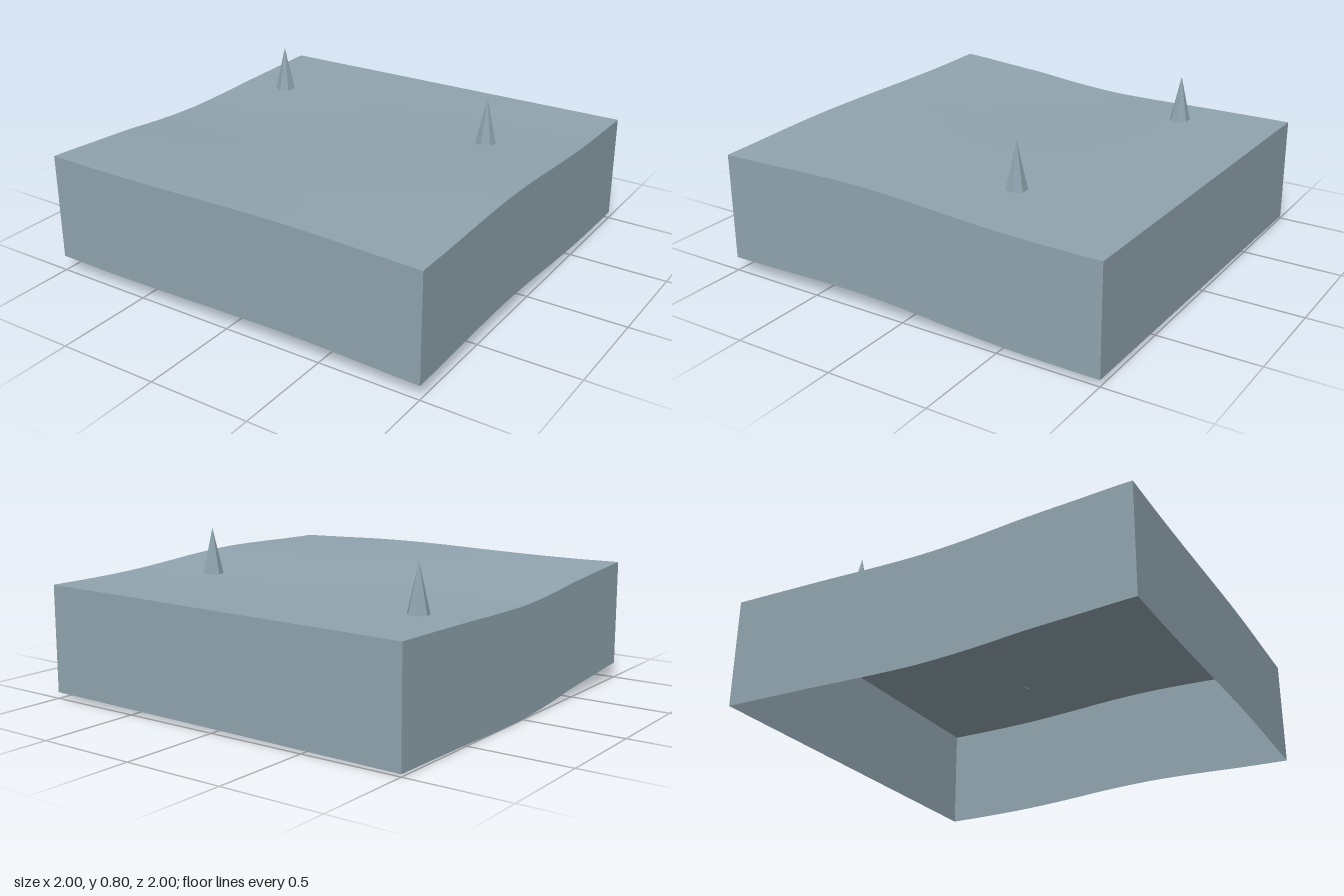
import * as THREE from 'three';

const SKIRT = 0.53; // constant drop of the side walls
const N = 32; // grid divisions

// Height profiles along each edge, evenly spaced from -1 to 1
const profile = (heights) => {
  const curve = new THREE.SplineCurve(
    heights.map((h, i) => new THREE.Vector2(-1 + (2 * i) / (heights.length - 1), h)));
  return (s) => curve.getPoint((s + 1) / 2).y;
};
const right = profile([0.56, 0.561, 0.567, 0.582, 0.6, 0.61, 0.608, 0.601, 0.597]);
const left = profile([0.54, 0.538, 0.535, 0.53, 0.53, 0.545, 0.57, 0.588, 0.605]);
const front = profile([0.605, 0.602, 0.603, 0.607, 0.612, 0.615, 0.612, 0.604, 0.597]);
const back = (x) => 0.55 + 0.01 * x;

// Blend the four edges into one surface
function heightAt(x, z) {
  const u = (x + 1) / 2;
  const v = (z + 1) / 2;
  const mix = THREE.MathUtils.lerp;
  const corners = mix(mix(back(-1), back(1), u), mix(front(-1), front(1), u), v);
  return mix(left(z), right(z), u) + mix(back(x), front(x), v) - corners;
}

export function createModel() {
  const model = new THREE.Group();
  model.name = 'terrainTile';
  const stone = new THREE.MeshStandardMaterial({ color: 0x90a4ae, side: THREE.DoubleSide });
  stone.name = 'blueGrey';

  const add = (name, geometry) => {
    const mesh = new THREE.Mesh(geometry, stone);
    mesh.name = name;
    model.add(mesh);
    return mesh;
  };

  // Gently rolling ground
  const ground = new THREE.PlaneGeometry(2, 2, N, N).rotateX(-Math.PI / 2);
  const gp = ground.attributes.position;
  for (let i = 0; i < gp.count; i++) gp.setY(i, heightAt(gp.getX(i), gp.getZ(i)));
  ground.computeVertexNormals();
  add('ground', ground);

  // Side walls following the ground edge, open underneath
  ['frontWall', 'leftWall', 'backWall', 'rightWall'].forEach((name, k) => {
    const wall = new THREE.PlaneGeometry(2, 1, N, 1).translate(0, 0, 1).rotateY((k * Math.PI) / 2);
    const p = wall.attributes.position;
    for (let i = 0; i < p.count; i++) {
      const top = heightAt(p.getX(i), p.getZ(i));
      p.setY(i, p.getY(i) > 0 ? top : top - SKIRT);
    }
    add(name, wall);
  });

  // Faceted spikes standing on the ground
  [['leftSpike', 0.58, -0.335, 0.8], ['rightSpike', -0.75, -0.5, 0.77]].forEach(([name, x, z, tip]) => {
    const base = heightAt(x, z);
    const h = tip - base;
    const cone = new THREE.ConeGeometry(0.052, h, 7).toNonIndexed();
    cone.computeVertexNormals();
    add(name, cone).position.set(x, base + h / 2, z);
  });

  return model;
}
